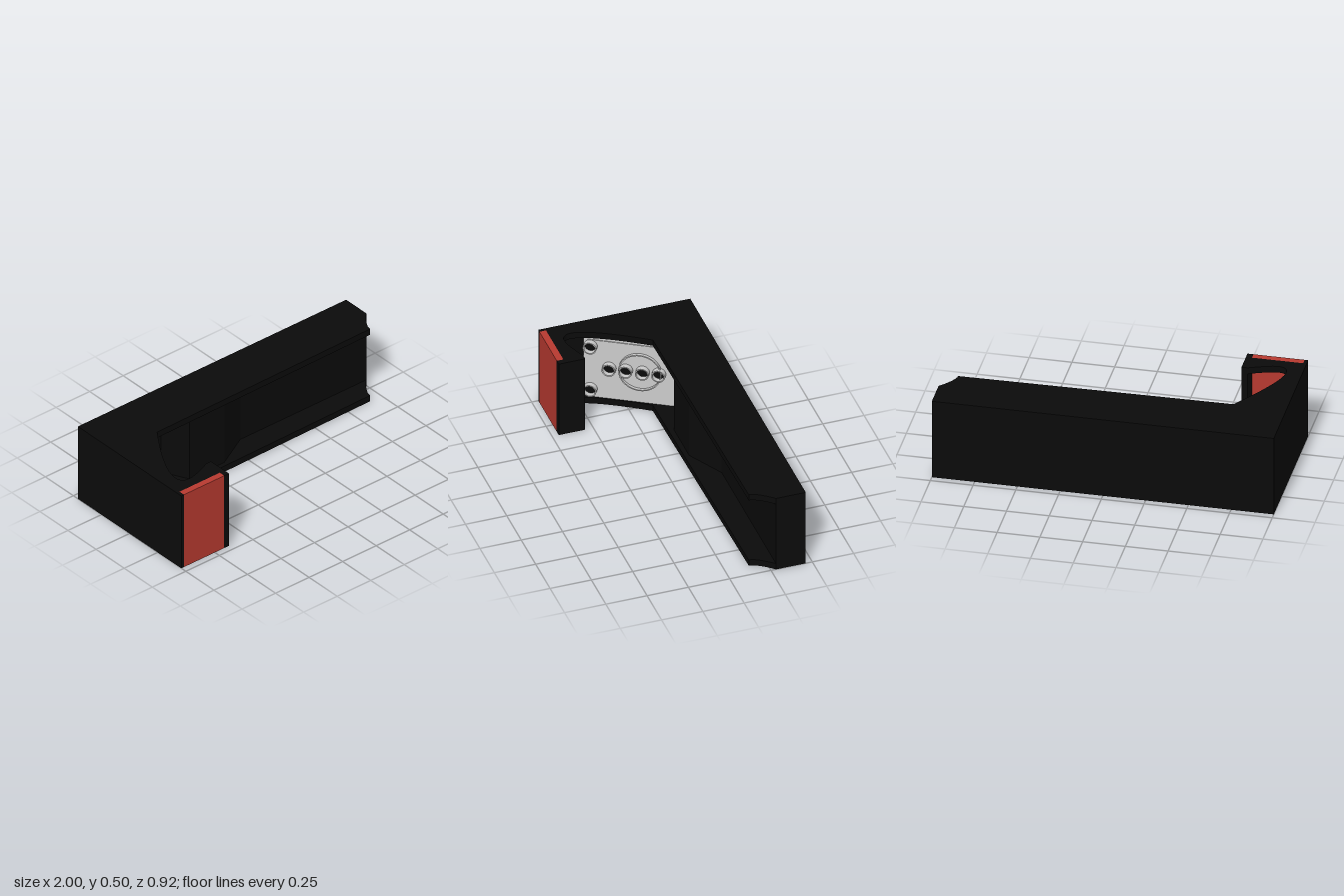
import * as THREE from 'three';

const paint = (color) => new THREE.MeshStandardMaterial({ color, side: THREE.DoubleSide });
const black = paint(0x0b0b0b);
const red = paint(0xb83a30);
const grey = paint(0xcccccc);

// Extrudes an outline given in (x, z) upward from y0 to y1.
function slab(name, outline, y0, y1, material) {
  const geometry = new THREE.ExtrudeGeometry(outline, { depth: y1 - y0, bevelEnabled: false, curveSegments: 16 });
  geometry.rotateX(-Math.PI / 2).translate(0, y0, 0);
  const mesh = new THREE.Mesh(geometry, material);
  mesh.name = name;
  return mesh;
}
const polygon = (points) => new THREE.Shape(points.map(([x, z]) => new THREE.Vector2(x, -z)));

// Hooked outline shared by the top and bottom flanges
function flangeOutline() {
  const s = polygon([[-1, 0.46], [-1, -0.46], [1, -0.46], [1, -0.28]]);
  s.quadraticCurveTo(0.915, 0.19, 0.915, 0.145);
  s.lineTo(-0.69, 0.125);
  s.bezierCurveTo(-0.77, 0.01, -0.91, -0.2, -0.908, -0.3);
  s.bezierCurveTo(-0.9, -0.39, -0.8, -0.35, -0.68, -0.3);
  for (const [x, z] of [[-0.645, 0.3], [-0.645, 0.46], [-0.68, 0.46], [-0.68, 0.42], [-0.98, 0.42], [-0.98, 0.46]]) s.lineTo(x, -z);
  return s;
}

// Plate outline: straight on the outer end, bowed on the inner end
function plateOutline(inset) {
  const a = -0.268 + inset, b = 0.28, h = 0.21 - inset;
  const s = new THREE.Shape();
  s.moveTo(a, -h);
  s.lineTo(b, -h);
  s.quadraticCurveTo(b + 0.12 - inset, 0, b, h);
  s.lineTo(a, h);
  return s;
}

// Open tube standing on the plate
function tube(name, x, y, outer, inner, height) {
  const s = new THREE.Shape().absarc(x, y, outer, 0, Math.PI * 2);
  s.holes.push(new THREE.Path().absarc(x, y, inner, 0, Math.PI * 2));
  const mesh = new THREE.Mesh(new THREE.ExtrudeGeometry(s, { depth: height, bevelEnabled: false, curveSegments: 24 }), grey);
  mesh.name = name;
  return mesh;
}

function fixingPlate() {
  const group = new THREE.Group();
  group.name = 'fixingPlate';
  const add = (name, shape, depth, z) => {
    const mesh = new THREE.Mesh(new THREE.ExtrudeGeometry(shape, { depth, bevelEnabled: false }), grey);
    mesh.name = name;
    mesh.position.z = z;
    group.add(mesh);
  };
  add('plateBase', plateOutline(0), 0.026, -0.03);
  add('platePanel', plateOutline(0.018), 0.004, -0.004);

  // Large ring round the row of sockets
  group.add(tube('plateRing', 0.065, 0.01, 0.126, 0.119, 0.018));

  // Two corner sockets and a row of four
  const sockets = [[-0.225, -0.15], [-0.225, 0.15], [-0.115, 0.01], [-0.018, 0.01], [0.08, 0.01], [0.175, 0.01]];
  for (const [x, y] of sockets) {
    group.add(tube('socket', x, y, 0.04, 0.033, 0.032));
    const hole = new THREE.Mesh(new THREE.CircleGeometry(0.033, 24), black);
    hole.name = 'socketHole';
    hole.position.set(x, y, 0.002);
    group.add(hole);
  }
  group.position.set(-0.771, 0.25, -0.01);
  group.rotation.y = 1.032;
  return group;
}

export function createModel() {
  const model = new THREE.Group();

  // Flanges
  model.add(slab('bottomFlange', flangeOutline(), 0, 0.04, black));
  model.add(slab('topFlange', flangeOutline(), 0.46, 0.5, black));

  // Recessed web and side wall between the flanges
  model.add(slab('web', polygon([
    [-1, 0.46], [-1, -0.46], [1, -0.46], [1, -0.28], [0.06, -0.28], [-0.16, -0.16], [-0.42, -0.16],
    [-0.5, -0.318], [-0.623, -0.318], [-0.935, 0.206], [-0.95, 0.25], [-0.95, 0.42], [-0.98, 0.42], [-0.98, 0.46],
  ]), 0.04, 0.46, black));

  // Lip at the free end of the hook
  model.add(slab('hookLip', polygon([[-0.68, 0.46], [-0.68, 0.3], [-0.645, 0.3], [-0.645, 0.46]]), 0.04, 0.46, black));

  // Coloured panel set into the front of the hook
  const panel = new THREE.Mesh(new THREE.BoxGeometry(0.3, 0.5, 0.04), red);
  panel.name = 'frontPanel';
  panel.position.set(-0.83, 0.25, 0.44);
  model.add(panel);

  model.add(fixingPlate());
  return model;
}
